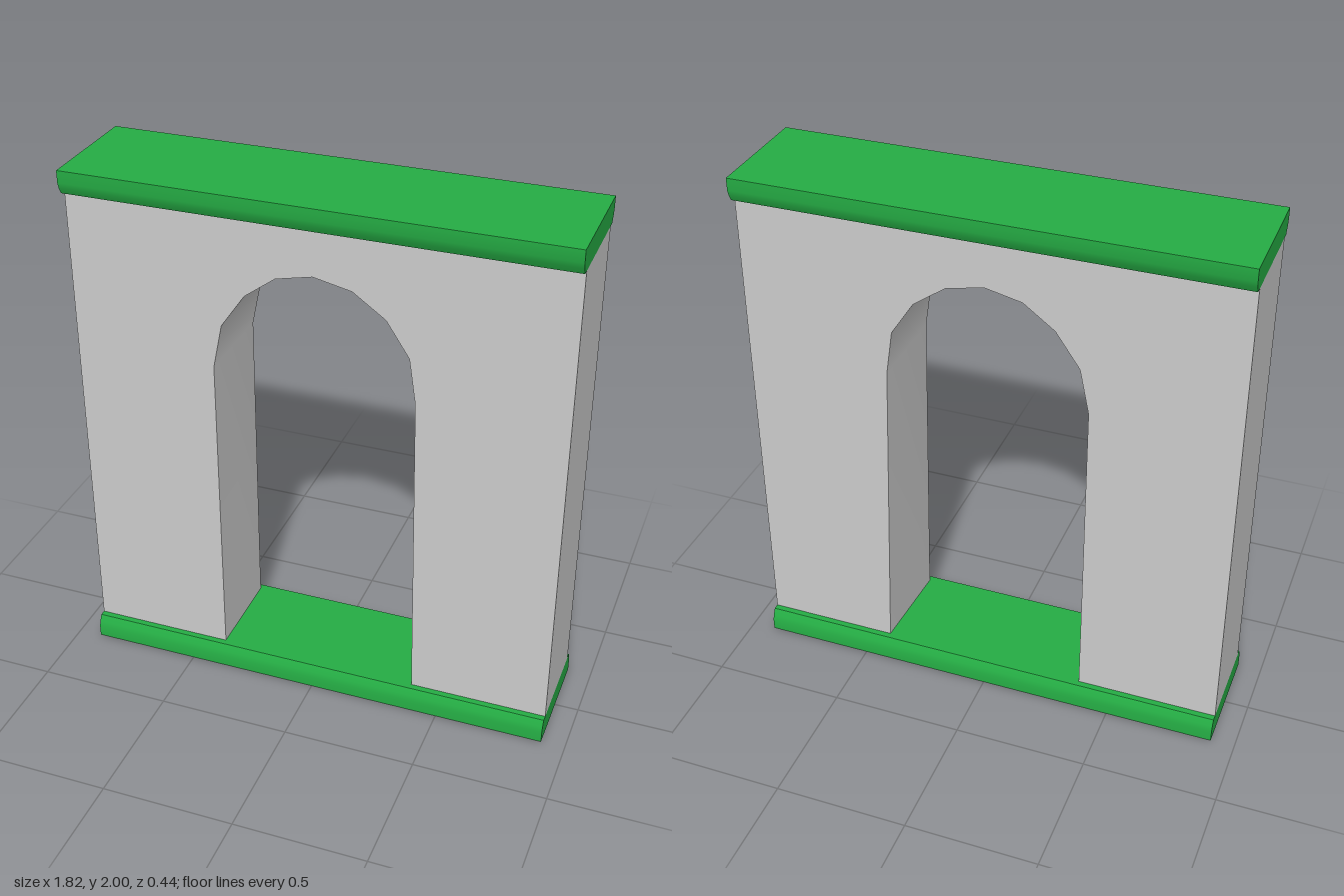
import * as THREE from 'three';
import { toCreasedNormals } from 'three/addons/utils/BufferGeometryUtils.js';

const HALF_X = 0.91, WALL_Z = 0.18, TRIM_H = 0.09, TOP = 2;

const grey = new THREE.MeshStandardMaterial({ color: 0xcccccc, side: THREE.DoubleSide });
const green = new THREE.MeshStandardMaterial({ color: 0x25ac44, side: THREE.DoubleSide });

// Arch outline, left jamb up, over the crown, right jamb down
const archOutline = (footX) => [
  [-0.375, TRIM_H], [-0.375, 1.32], [-0.34, 1.49], [-0.25, 1.62], [-0.135, 1.705], [0, 1.735],
  [0.14, 1.705], [0.26, 1.62], [0.345, 1.49], [0.37, 1.32], [footX, TRIM_H],
];

// Outer edge of the moulding as [z, height], from its widest face to its lip
const moulding = [[0.222, 0], [0.222, 0.045], [0.216, 0.066], [0.203, TRIM_H]];

function addMesh(parent, name, geometry, material) {
  const mesh = new THREE.Mesh(geometry, material);
  mesh.name = name;
  parent.add(mesh);
  return mesh;
}

// Wall face with the arch cut out of its lower edge
function wallFace(arch, sign) {
  const outline = [
    [-HALF_X, TRIM_H], ...arch, [HALF_X, TRIM_H],
    [HALF_X, TOP - TRIM_H], [-HALF_X, TOP - TRIM_H],
  ];
  const geo = new THREE.ShapeGeometry(
    new THREE.Shape(outline.map(([x, y]) => new THREE.Vector2(x * sign, y))));
  geo.translate(0, 0, WALL_Z);
  if (sign < 0) geo.rotateY(Math.PI);
  return geo;
}

// Strip joining a front outline to a back outline through the wall
function ribbon(front, back) {
  const pos = [], idx = [];
  front.forEach(([x, y], i) => {
    pos.push(x, y, WALL_Z, back[i][0], back[i][1], -WALL_Z);
    if (i > 0) {
      const a = 2 * (i - 1);
      idx.push(a, a + 1, a + 2, a + 2, a + 1, a + 3);
    }
  });
  const geo = new THREE.BufferGeometry();
  geo.setAttribute('position', new THREE.Float32BufferAttribute(pos, 3));
  geo.setIndex(idx);
  geo.computeVertexNormals();
  return geo;
}

// Run a [z, y] cross-section along the whole length of the wall
function runAlongX(section) {
  const shape = new THREE.Shape(section.map(([z, y]) => new THREE.Vector2(-z, y)));
  const geo = new THREE.ExtrudeGeometry(shape, { depth: 2 * HALF_X, bevelEnabled: false });
  geo.translate(0, 0, -HALF_X);
  geo.rotateY(Math.PI / 2);
  return toCreasedNormals(geo, 0.7);
}

export function createModel() {
  const model = new THREE.Group();
  model.name = 'archwayWall';

  // Hollow wall with an arched passage
  const wall = new THREE.Group();
  wall.name = 'wall';
  model.add(wall);
  const frontArch = archOutline(0.39), backArch = archOutline(0.41);
  addMesh(wall, 'frontFace', wallFace(frontArch, 1), grey);
  addMesh(wall, 'backFace', wallFace(backArch, -1), grey);
  addMesh(wall, 'archLining', ribbon(frontArch, backArch), grey);
  const leftEnd = [[HALF_X, TRIM_H], [HALF_X, TOP - TRIM_H]];
  const rightEnd = [[-HALF_X, TOP - TRIM_H], [-HALF_X, TRIM_H]];
  addMesh(wall, 'leftEnd', ribbon(leftEnd, leftEnd), grey);
  addMesh(wall, 'rightEnd', ribbon(rightEnd, rightEnd), grey);

  // Solid cap moulding on top
  const capSide = moulding.map(([z, h]) => [z, TOP - h]);
  const capBack = capSide.map(([z, y]) => [-z, y]).reverse();
  addMesh(model, 'topCap', runAlongX([...capSide, ...capBack]), green);

  // Base moulding, open underneath
  const base = new THREE.Group();
  base.name = 'base';
  model.add(base);
  const lift = 0.002;
  for (const s of [1, -1]) {
    const side = s > 0 ? 'front' : 'back';
    const section = [[WALL_Z, lift], ...moulding.map(([z, h]) => [z, Math.max(h, lift)]), [WALL_Z, TRIM_H]];
    addMesh(base, side + 'Rail', runAlongX(section.map(([z, y]) => [z * s, y])), green);

    // Grey rim on the underside of the rail
    const rim = new THREE.PlaneGeometry(2 * HALF_X, 0.222 - WALL_Z);
    rim.rotateX(Math.PI / 2);
    addMesh(base, side + 'Rim', rim, grey).position.z = s * (0.222 + WALL_Z) / 2;

    // End plate closing the base between the rails
    const plate = new THREE.PlaneGeometry(2 * WALL_Z, TRIM_H);
    plate.rotateY(s * Math.PI / 2);
    addMesh(base, s > 0 ? 'leftPlate' : 'rightPlate', plate, green)
      .position.set(s * HALF_X, TRIM_H / 2, 0);
  }

  // Floor of the passage, following the feet of the arch
  const floor = ribbon([[-0.375, TRIM_H], [0.39, TRIM_H]].reverse(), [[-0.375, TRIM_H], [0.41, TRIM_H]].reverse());
  addMesh(base, 'passageFloor', floor, green);

  return model;
}
